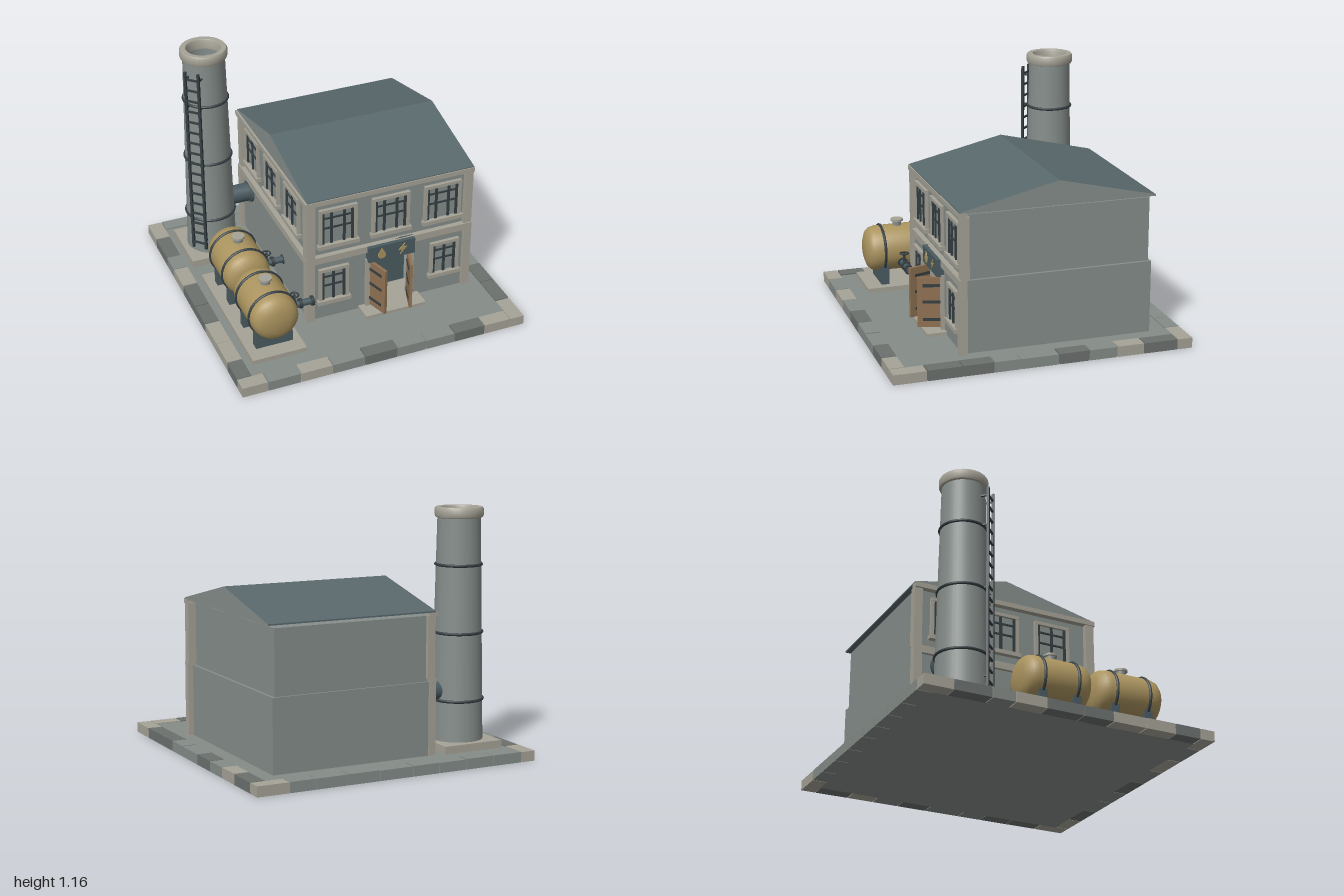
import * as THREE from 'three';
import { toCreasedNormals } from 'three/addons/utils/BufferGeometryUtils.js';

const mat = (name, color) => Object.assign(new THREE.MeshStandardMaterial({ color }), { name });
const M = {
  wall: mat('wall grey', 0x868e8b),
  paving: mat('paving grey', 0x858c88),
  roof: mat('slate roof', 0x59686c),
  trim: mat('light stone', 0xa6a397),
  darkStone: mat('dark stone', 0x6c716e),
  steel: mat('blue steel', 0x4a5b61),
  iron: mat('dark iron', 0x353f43),
  tank: mat('ochre paint', 0xab945f),
  wood: mat('door wood', 0x8f7152),
};

function add(parent, name, geo, material, x = 0, y = 0, z = 0) {
  const m = new THREE.Mesh(geo, material);
  m.name = name;
  m.position.set(x, y, z);
  parent.add(m);
  return m;
}
// Box given by its min and max on each axis
const block = (p, name, material, x0, x1, y0, y1, z0, z1) =>
  add(p, name, new THREE.BoxGeometry(x1 - x0, y1 - y0, z1 - z0), material,
    (x0 + x1) / 2, (y0 + y1) / 2, (z0 + z1) / 2);
const lathe = (pts, seg = 36) =>
  toCreasedNormals(new THREE.LatheGeometry(pts.map(p => new THREE.Vector2(...p)), seg), 0.6);
const cyl = (r, h, seg = 20) => new THREE.CylinderGeometry(r, r, h, seg);
function sub(parent, name, x = 0, y = 0, z = 0, ry = 0) {
  const g = new THREE.Group();
  g.name = name;
  g.position.set(x, y, z);
  g.rotation.y = ry;
  parent.add(g);
  return g;
}

function buildBase(root) {
  const base = sub(root, 'base');
  block(base, 'paving', M.paving, -0.64, 0.64, 0, 0.044, -0.64, 0.64);
  let seed = 7;
  const rnd = () => (seed = (seed * 16807) % 2147483647) / 2147483647;
  for (let k = 0; k < 4; k++) {
    const side = sub(base, 'kerb', 0, 0, 0, k * Math.PI / 2);
    const n = 9, step = 1.344 / n;
    let x = -0.707;
    for (let i = 0; i < n; i++) {
      const end = i === n - 1 ? 0.637 : -0.707 + step * (i + 1) + (rnd() - 0.5) * 0.05;
      const pick = rnd();
      const m = i === 0 || pick > 0.75 ? M.trim : pick > 0.38 ? M.paving : M.darkStone;
      block(side, 'kerbStone', m, x, end - 0.004, 0, 0.05 - rnd() * 0.003, 0.637, 0.707);
      x = end;
    }
  }
}

// Window on a wall whose outside faces +z
function windowUnit(face, x, y, w, h, cols) {
  const g = sub(face, 'window', x, y, 0);
  const a = w / 2, b = h / 2, t = 0.016;
  block(g, 'windowPane', M.wall, -a, a, -b, b, 0, 0.004);
  for (const s of [-1, 1]) {
    const c = s * (a - t / 2);
    block(g, 'windowJamb', M.trim, c - t / 2, c + t / 2, -b, b, 0, 0.016);
    block(g, 'windowRail', M.iron, s * (a - 0.022) - 0.006, s * (a - 0.022) + 0.006, -b + t, b - t, 0, 0.011);
  }
  block(g, 'windowHead', M.trim, -a, a, b - t, b, 0, 0.018);
  block(g, 'windowSill', M.trim, -a - 0.008, a + 0.008, -b - 0.004, -b + t, 0, 0.026);
  for (let i = 1; i < cols; i++) {
    const c = -a + w * i / cols;
    block(g, 'glazingBar', M.iron, c - 0.006, c + 0.006, -b + t, b - t, 0, 0.011);
  }
  for (const f of [-0.02, 0.5]) {
    const c = f * b;
    block(g, 'glazingBar', M.iron, -a + t, a - t, c - 0.004, c + 0.004, 0, 0.01);
  }
}

// Pilasters and ledges across a decorated wall
function wallTrim(face, x0, x1) {
  for (const [a, b] of [[x0, x0 + 0.04], [x1 - 0.04, x1]]) {
    block(face, 'lowerPilaster', M.trim, a, b, 0.045, 0.365, -0.02, 0.016);
    block(face, 'upperPilaster', M.trim, a, b, 0.4, 0.69, -0.03, 0.01);
  }
  block(face, 'middleLedge', M.trim, x0, x1, 0.365, 0.4, -0.02, 0.016);
  block(face, 'cornice', M.trim, x0, x1, 0.685, 0.708, -0.02, 0.02);
}

function buildHouse(root) {
  const house = sub(root, 'house');
  // Lower storey, open at the doorway
  block(house, 'lowerSideWall', M.wall, -0.245, -0.225, 0.044, 0.388, -0.555, 0.35);
  block(house, 'lowerSideWall', M.wall, 0.54, 0.56, 0.044, 0.388, -0.555, 0.35);
  block(house, 'lowerBackWall', M.wall, -0.245, 0.56, 0.044, 0.388, -0.555, -0.535);
  block(house, 'lowerFrontWall', M.wall, -0.245, 0.065, 0.044, 0.388, 0.33, 0.35);
  block(house, 'lowerFrontWall', M.wall, 0.262, 0.56, 0.044, 0.388, 0.33, 0.35);
  block(house, 'doorLintel', M.wall, 0.065, 0.262, 0.315, 0.388, 0.33, 0.35);
  block(house, 'doorRecess', M.steel, 0.03, 0.3, 0.044, 0.34, 0.22, 0.23);
  // Upper storey
  block(house, 'upperStorey', M.wall, -0.235, 0.546, 0.38, 0.69, -0.545, 0.34);

  // Gabled roof with wall-coloured ends
  const s = new THREE.Shape();
  s.moveTo(-0.56, 0.705);
  s.lineTo(0.365, 0.705);
  s.lineTo(0.365, 0.712);
  s.lineTo(-0.097, 0.82);
  s.lineTo(-0.56, 0.712);
  const roof = new THREE.ExtrudeGeometry(s, { depth: 0.838, bevelEnabled: false });
  roof.rotateY(-Math.PI / 2);
  add(house, 'roof', roof, [M.wall, M.roof], 0.583);

  // Door side
  const front = sub(house, 'frontFace', 0, 0, 0.35);
  wallTrim(front, -0.26, 0.585);
  for (let i = -1; i <= 1; i++) {
    const w = sub(front, 'upperWindow', 0, 0, -0.01);
    windowUnit(w, 0.168 + i * 0.265, 0.545, 0.19, 0.205, 3);
    if (i) windowUnit(front, 0.163 + i * 0.285, 0.232, 0.15, 0.19, 2);
  }
  // Window side
  const side = sub(house, 'sideFace', -0.245, 0, 0, -Math.PI / 2);
  wallTrim(side, -0.56, 0.366);
  for (let i = -1; i <= 1; i++) {
    const w = sub(side, 'upperWindow', 0, 0, -0.01);
    windowUnit(w, -0.12 + i * 0.265, 0.55, 0.18, 0.205, 2);
  }

  // Doorway with two open leaves
  const door = sub(front, 'doorway', 0.163);
  block(door, 'doorStep', M.trim, -0.155, 0.155, 0.044, 0.06, -0.12, 0.095);
  for (const k of [-1, 1]) {
    block(door, 'doorJamb', M.trim, k * 0.11 - 0.013, k * 0.11 + 0.013, 0.05, 0.325, -0.02, 0.016);
    const leaf = sub(door, 'doorLeaf', k * 0.097, 0, 0.01, -k * 0.3);
    block(leaf, 'doorPlanks', M.wood, -0.007, 0.007, 0.066, 0.31, 0, 0.11);
    for (const y of [0.105, 0.19, 0.27])
      block(leaf, 'doorStrap', M.iron, -0.01, 0.01, y - 0.007, y + 0.007, 0.002, 0.085);
  }
  block(door, 'signBoard', M.steel, -0.118, 0.118, 0.318, 0.4, 0, 0.035);
  const plate = { depth: 0.004, bevelEnabled: false };
  const drop = new THREE.Shape();
  drop.moveTo(0, 0.03);
  drop.bezierCurveTo(0.01, 0.01, 0.02, 0, 0.02, -0.01);
  drop.bezierCurveTo(0.02, -0.034, -0.02, -0.034, -0.02, -0.01);
  drop.bezierCurveTo(-0.02, 0, -0.01, 0.01, 0, 0.03);
  add(door, 'dropSign', new THREE.ExtrudeGeometry(drop, plate), M.tank, -0.053, 0.36, 0.035);
  const bolt = new THREE.Shape([[0.012, 0.03], [-0.022, -0.006], [-0.002, -0.004], [-0.012, -0.03],
    [0.022, 0.008], [0.003, 0.006]].map(p => new THREE.Vector2(...p)));
  add(door, 'boltSign', new THREE.ExtrudeGeometry(bolt, plate), M.tank, 0.053, 0.36, 0.035);
}

function buildTanks(root) {
  const yard = sub(root, 'tankYard');
  block(yard, 'tankSlab', M.trim, -0.602, -0.338, 0.044, 0.066, -0.165, 0.56);
  const shell = lathe([[0, -0.17], [0.06, -0.166], [0.09, -0.155], [0.106, -0.138], [0.113, -0.11],
    [0.113, 0.11], [0.106, 0.138], [0.09, 0.155], [0.06, 0.166], [0, 0.17]]);
  shell.rotateX(Math.PI / 2);
  for (const z of [0.014, 0.378]) {
    const t = sub(yard, 'tank', -0.468, 0.232, z);
    add(t, 'tankShell', shell, M.tank);
    for (const k of [-0.085, 0.085]) {
      add(t, 'tankBand', new THREE.TorusGeometry(0.114, 0.007, 8, 36), M.iron, 0, 0, k);
      block(t, 'tankSaddle', M.steel, -0.09, 0.09, -0.168, -0.07, k - 0.02, k + 0.02);
    }
    add(t, 'tankNeck', cyl(0.022, 0.03), M.wall, 0, 0.122, 0);
    add(t, 'tankCap', cyl(0.031, 0.01), M.trim, 0, 0.138, 0);
    // Outlet pipe with valve
    const pipe = add(t, 'outletPipe', cyl(0.016, 0.17), M.steel, 0.155, -0.052, 0);
    pipe.rotation.z = Math.PI / 2;
    for (const x of [0.105, 0.17, 0.228]) {
      const f = add(t, 'pipeFlange', cyl(0.024, 0.014), M.iron, x, -0.052, 0);
      f.rotation.z = Math.PI / 2;
    }
    add(t, 'valveStem', cyl(0.006, 0.05, 8), M.iron, 0.14, -0.02, 0);
    const wheel = add(t, 'valveWheel', new THREE.TorusGeometry(0.02, 0.004, 6, 16), M.iron, 0.14, 0.004, 0);
    wheel.rotation.x = Math.PI / 2;
  }
}

function buildChimney(root) {
  const c = sub(root, 'chimney', -0.622, 0, 0.028);
  const slab = sub(c, 'chimneyFooting', 0, 0, 0, Math.PI / 4);
  block(slab, 'chimneySlab', M.trim, -0.152, 0.152, 0.044, 0.08, -0.152, 0.152);
  // Hollow tapered stack
  add(c, 'chimneyStack', lathe([[0.122, 0.08], [0.1, 1.13], [0.082, 1.13], [0.1, 0.08]]), M.wall);
  add(c, 'chimneyRim', lathe([[0.1, 1.115], [0.109, 1.118], [0.113, 1.128], [0.113, 1.157],
    [0.108, 1.165], [0.084, 1.165], [0.08, 1.158], [0.08, 1.115], [0.1, 1.115]]), M.trim);
  for (const y of [0.27, 0.585, 0.9]) {
    const r = 0.122 - 0.022 * (y - 0.08) / 1.05;
    const band = add(c, 'chimneyBand', new THREE.TorusGeometry(r + 0.001, 0.007, 8, 40), M.iron, 0, y, 0);
    band.rotation.x = Math.PI / 2;
  }
  // Flue to the house
  const flue = sub(c, 'flue', 0, 0.315, 0, Math.PI / 4);
  const duct = add(flue, 'flueDuct', cyl(0.046, 0.16, 24), M.steel, 0.145, 0, 0);
  const collar = add(flue, 'flueCollar', cyl(0.054, 0.016, 24), M.steel, 0.206, 0, 0);
  duct.rotation.z = collar.rotation.z = Math.PI / 2;
  // Ladder
  const ladder = sub(c, 'ladder', 0, 0, 0.13);
  for (const k of [-1, 1]) {
    block(ladder, 'ladderRail', M.iron, k * 0.034 - 0.006, k * 0.034 + 0.006, 0.11, 1.09, -0.006, 0.006);
    for (const y of [0.16, 0.585, 0.9, 1.05])
      block(ladder, 'ladderBracket', M.iron, k * 0.034 - 0.004, k * 0.034 + 0.004, y - 0.004, y + 0.004, -0.035, 0);
  }
  for (let i = 0; i < 17; i++)
    block(ladder, 'ladderRung', M.iron, -0.034, 0.034, 0.136 + i * 0.057, 0.145 + i * 0.057, -0.004, 0.004);
}

export function createModel() {
  const model = new THREE.Group();
  model.name = 'powerHouse';
  // The plot stands turned by an eighth
  const plot = sub(model, 'plot', 0, 0, 0, Math.PI / 4);
  buildBase(plot);
  buildHouse(plot);
  buildTanks(plot);
  buildChimney(model);
  return model;
}
